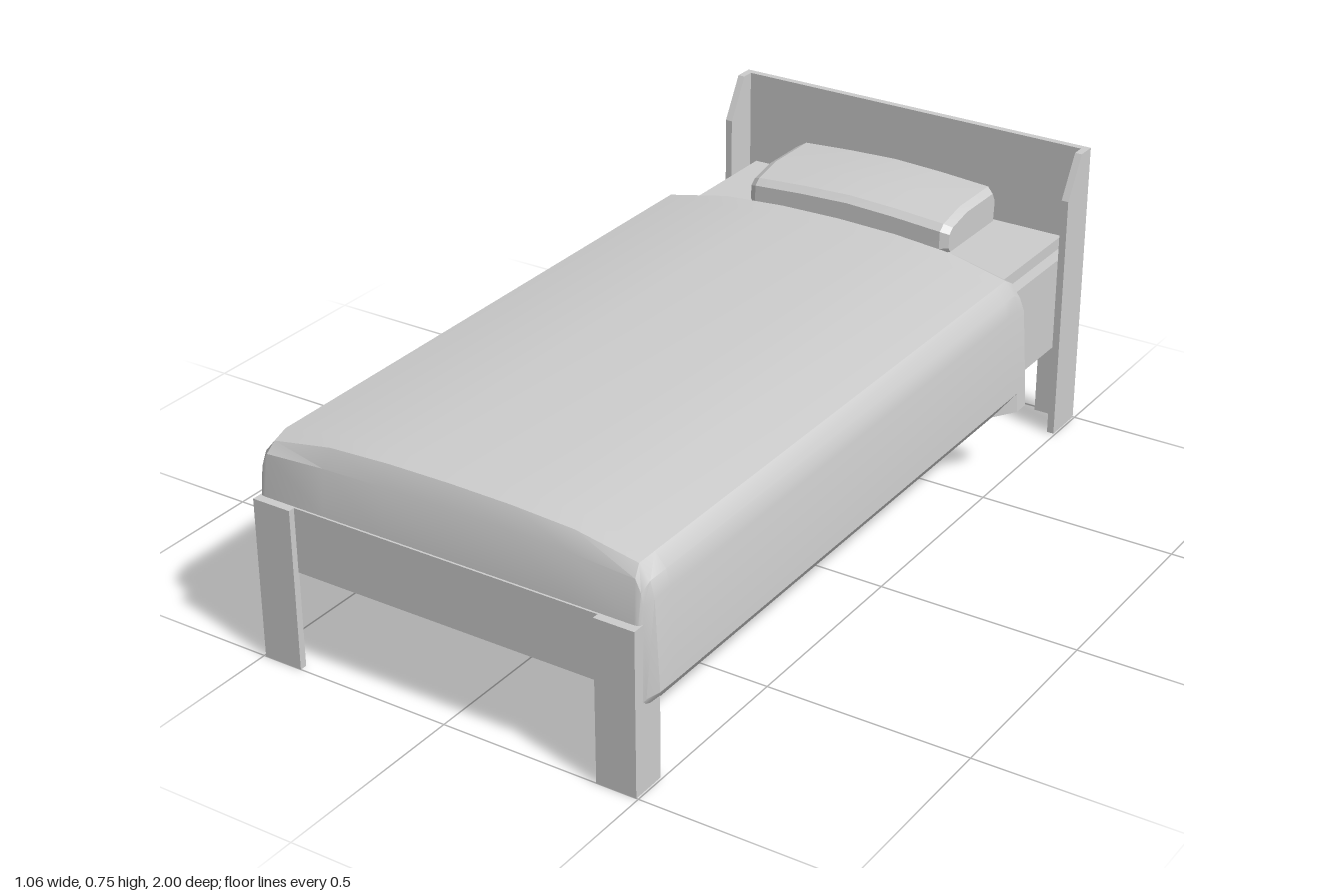
import * as THREE from 'three';
import { toCreasedNormals } from 'three/addons/utils/BufferGeometryUtils.js';

const grey = new THREE.MeshStandardMaterial({ color: 0xcccccc, side: THREE.DoubleSide });
grey.name = 'light grey';

function add(group, name, geometry) {
  const mesh = new THREE.Mesh(geometry, grey);
  mesh.name = name;
  group.add(mesh);
  return mesh;
}

// Box from its lower and upper corners
function box(group, name, [x0, y0, z0], [x1, y1, z1]) {
  const g = new THREE.BoxGeometry(x1 - x0, y1 - y0, z1 - z0);
  g.translate((x0 + x1) / 2, (y0 + y1) / 2, (z0 + z1) / 2);
  return add(group, name, g);
}

function plate(points, depth) {
  const shape = new THREE.Shape(points.map(([x, y]) => new THREE.Vector2(x, y)));
  return new THREE.ExtrudeGeometry(shape, { depth, bevelEnabled: false });
}

// Skin stretched over a row of cross-sections
function loft(sections, closed, crease) {
  const n = sections[0].length;
  const index = [];
  for (let i = 0; i < sections.length - 1; i++) {
    for (let j = 0; j < (closed ? n : n - 1); j++) {
      const k = (j + 1) % n;
      const a = i * n + j, b = a + n, c = (i + 1) * n + k, d = i * n + k;
      index.push(a, b, c, a, c, d);
    }
  }
  const g = new THREE.BufferGeometry();
  g.setAttribute('position', new THREE.Float32BufferAttribute(sections.flat(2), 3));
  g.setIndex(index);
  return toCreasedNormals(g, crease);
}

// Headboard with an opening between its feet, and chamfered side wings
function createHeadboard() {
  const group = new THREE.Group();
  group.name = 'headboard';
  const panel = plate([[-0.495, 0], [-0.395, 0], [-0.395, 0.39], [0.395, 0.39],
    [0.395, 0], [0.495, 0], [0.495, 0.745], [-0.495, 0.745]], 0.018);
  add(group, 'headPanel', panel).position.z = -1;
  for (const side of [-1, 1]) {
    const wing = plate([[0.018, 0], [0.11, 0], [0.11, 0.64], [0.05, 0.745], [0.018, 0.745]], 0.018);
    wing.rotateY(-Math.PI / 2);
    add(group, 'headWing', wing).position.set(side > 0 ? 0.495 : -0.477, 0, -1);
  }
  return group;
}

// Angled foot posts, each made of two boards
function createFootPosts() {
  const group = new THREE.Group();
  group.name = 'footPosts';
  for (const side of [-1, 1]) {
    const xs = (a, b) => (side > 0 ? [a, b] : [-b, -a]);
    const [f0, f1] = xs(0.395, 0.495);
    const [s0, s1] = xs(0.479, 0.495);
    box(group, 'footPostFront', [f0, 0, 0.982], [f1, 0.4, 1]);
    box(group, 'footPostSide', [s0, 0, 0.91], [s1, 0.4, 0.982]);
  }
  return group;
}

// Blanket draped over the mattress, from foot to head
function createBlanket(group) {
  const drape = [[0.487, 0.19], [0.527, 0.245], [0.515, 0.46], [0.505, 0.5],
    [0.478, 0.532], [0.32, 0.56], [0.16, 0.568], [0, 0.57]];
  const flare = drape.map(([x, y], j) => (j === 0 ? [0.53, 0.2] : [x, y + 0.004]));
  const hem = [[0.487, 0.2], [0.49, 0.215], [0.49, 0.38], [0.488, 0.39],
    [0.48, 0.4], [0.32, 0.4], [0.16, 0.4], [0, 0.4]];
  const footEdge = [[0.487, 0.2], [0.5, 0.225], [0.495, 0.44], [0.49, 0.47],
    [0.476, 0.5], [0.32, 0.51], [0.16, 0.515], [0, 0.515]];
  const roll = [[0.53, 0.2], [0.527, 0.25], [0.512, 0.45], [0.5, 0.48],
    [0.475, 0.512], [0.32, 0.538], [0.16, 0.546], [0, 0.548]];
  const tuck = [[0.49, 0.2], [0.485, 0.25], [0.474, 0.45], [0.47, 0.48],
    [0.445, 0.505], [0.32, 0.508], [0.16, 0.508], [0, 0.508]];
  const rows = [
    [0.979, hem, 0], [0.967, footEdge, 0],
    [0.945, drape.map(([x, y]) => [x * 0.985, y - 0.008]), 0],
    [0.9, drape, 0], [-0.55, drape.map(([x, y]) => [x, y + 0.004]), 0.02],
    [-0.6, flare, 0.03], [-0.643, roll, 0.03], [-0.65, tuck, 0.03],
  ];
  const sections = rows.map(([z, half, bulge]) => {
    const right = half.slice(0, -1).reverse().map(([x, y]) => [-x, y]);
    return [...half, ...right].map(([x, y]) =>
      [x, y, z - bulge * Math.max(0, 1 - (x / 0.5) ** 2)]);
  });
  add(group, 'blanket', loft(sections, false, 0.5));
}

// Plump pillow with a low ridge in the middle
function createPillow(group) {
  const profile = [[-0.7, 0.515], [-0.69, 0.53], [-0.692, 0.575], [-0.71, 0.59],
    [-0.79, 0.607], [-0.94, 0.607], [-0.955, 0.58], [-0.95, 0.515]];
  const stations = [[-0.285, 0, 0], [-0.285, 0.9, -0.006], [-0.265, 1, 0], [-0.13, 1, 0.009],
    [0, 1, 0.014], [0.13, 1, 0.009], [0.265, 1, 0], [0.285, 0.9, -0.006], [0.285, 0, 0]];
  const sections = stations.map(([x, s, lift]) => profile.map(([z, y]) => [
    x - 0.015,
    0.555 + (y - 0.555) * s + (y > 0.56 ? lift : 0),
    -0.82 + (z + 0.82) * s,
  ]));
  add(group, 'pillow', loft(sections, true, 0.4));
}

export function createModel() {
  const bed = new THREE.Group();
  bed.name = 'bed';
  bed.add(createHeadboard(), createFootPosts());

  // Frame, foot panel and mattress
  box(bed, 'frame', [-0.477, 0.24, -0.965], [0.477, 0.48, 0.95]);
  box(bed, 'footPanel', [-0.479, 0.24, 0.95], [0.479, 0.4, 0.984]);
  box(bed, 'mattress', [-0.447, 0.48, -0.965], [0.447, 0.51, 0.94]);

  createBlanket(bed);
  createPillow(bed);
  return bed;
}
